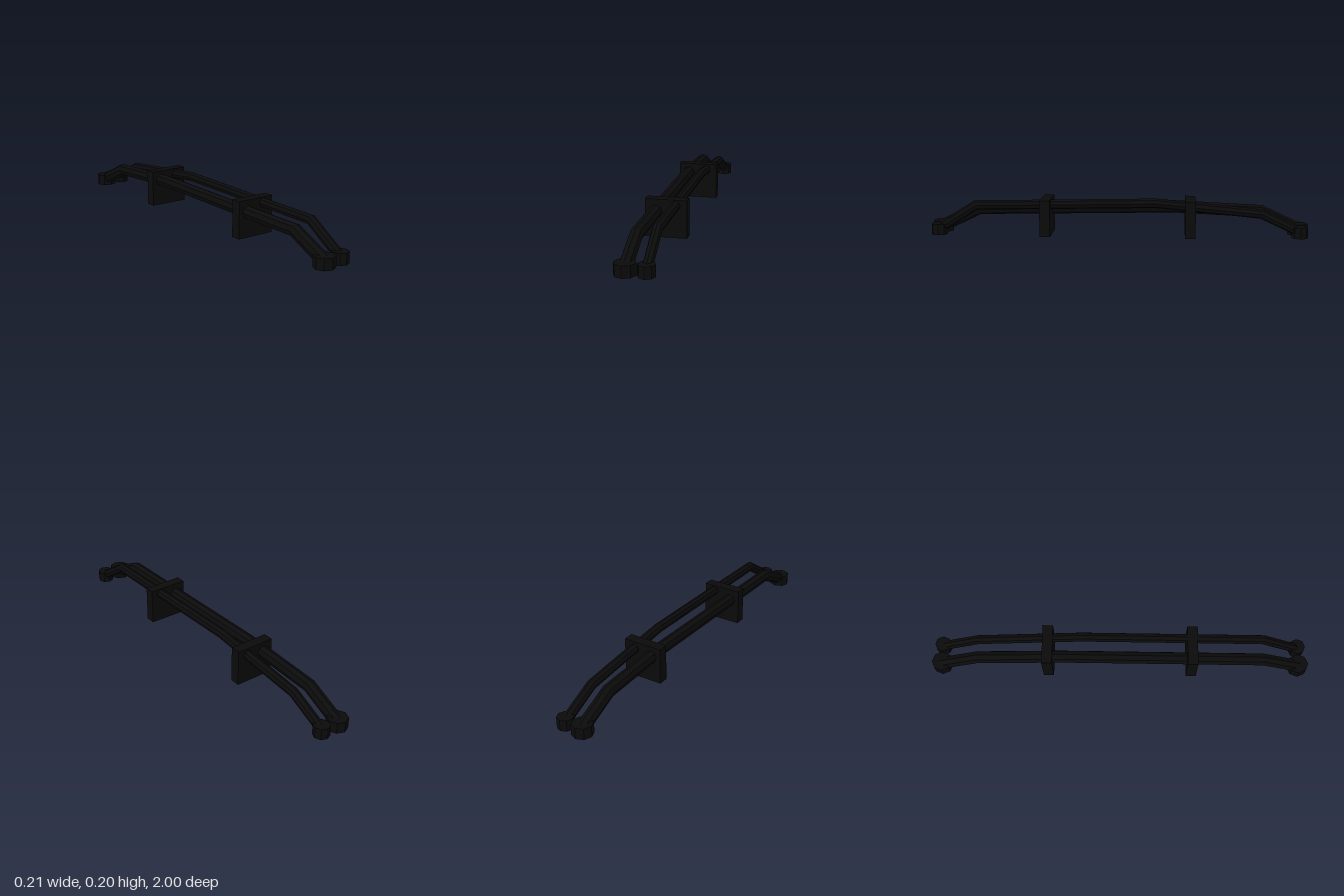
import * as THREE from 'three';

const black = new THREE.MeshStandardMaterial({ color: 0x0b0b0b });
black.name = 'black';

// Faceted mesh with flat normals
function addPart(group, name, geometry, x, y, z) {
  const flat = geometry.toNonIndexed();
  flat.computeVertexNormals();
  const mesh = new THREE.Mesh(flat, black);
  mesh.name = name;
  mesh.position.set(x, y, z);
  group.add(mesh);
}

// Eight-sided pipe with mitred bends; path is [z, y] pairs from front to back
function pipeGeometry(radius, path) {
  const points = path.map(([z, y]) => new THREE.Vector2(z, y));
  const last = points.length - 1;
  const direction = (i) => points[i + 1].clone().sub(points[i]).normalize();
  const sections = points.map((point, i) => {
    const before = direction(Math.max(i - 1, 0));
    const after = direction(Math.min(i, last - 1));
    const along = before.clone().add(after).normalize();
    const stretch = 1 / along.dot(before);
    return { point, up: new THREE.Vector2(along.y, -along.x).multiplyScalar(stretch) };
  });
  const geometry = new THREE.CylinderGeometry(radius, radius, last, 8, last);
  const pos = geometry.attributes.position;
  for (let i = 0; i < pos.count; i++) {
    const { point, up } = sections[Math.round(pos.getY(i) + last / 2)];
    const side = pos.getZ(i);
    pos.setXYZ(i, pos.getX(i), point.y + up.y * side, point.x + up.x * side);
  }
  return geometry;
}

export function createModel() {
  const model = new THREE.Group();
  model.name = 'pipeline';

  const pipes = [
    {
      name: 'largePipe', x: -0.051, radius: 0.033, footRadius: 0.053,
      path: [[0.947, 0.03], [0.75, 0.124], [-0.3, 0.143], [-0.75, 0.122], [-0.947, 0.03]],
    },
    {
      name: 'smallPipe', x: 0.047, radius: 0.025, footRadius: 0.042,
      path: [[0.947, 0.03], [0.75, 0.157], [-0.2, 0.175], [-0.75, 0.124], [-0.947, 0.03]],
    },
  ];

  for (const { name, x, radius, footRadius, path } of pipes) {
    addPart(model, name, pipeGeometry(radius, path), x, 0, 0);
    // Octagonal foot at each end
    for (const z of [0.947, -0.947]) {
      addPart(model, name + 'Foot', new THREE.CylinderGeometry(footRadius, footRadius, 0.058, 8), x, 0.029, z);
    }
  }

  // Support plates the pipes pass through
  for (const z of [0.379, -0.379]) {
    addPart(model, 'supportPlate', new THREE.BoxGeometry(0.21, 0.192, 0.054), 0, 0.096, z);
  }

  return model;
}
